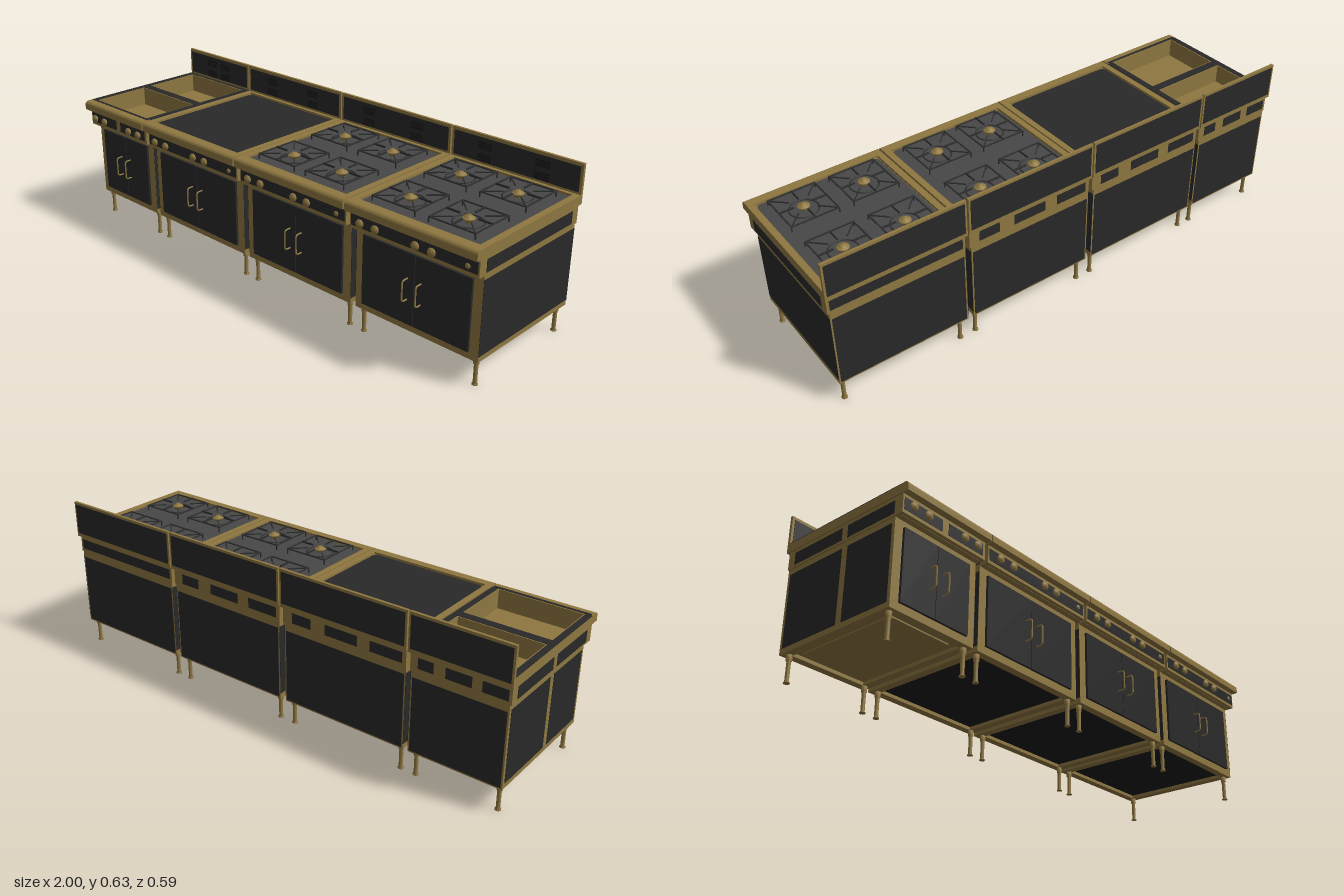
import * as THREE from 'three';

const mat = (color, side = THREE.FrontSide) => new THREE.MeshStandardMaterial({ color, side });
const gold = mat(0x8f7841), dark = mat(0x292929), black = mat(0x1b1b1b);
const iron = mat(0x303030), plateGrey = mat(0x474747);

function add(parent, name, geo, material, x = 0, y = 0, z = 0) {
  const m = new THREE.Mesh(geo, material);
  m.name = name;
  m.position.set(x, y, z);
  parent.add(m);
  return m;
}

// Box given by its low and high corners
function box(parent, name, material, x0, x1, y0, y1, z0, z1) {
  return add(parent, name, new THREE.BoxGeometry(x1 - x0, y1 - y0, z1 - z0), material,
    (x0 + x1) / 2, (y0 + y1) / 2, (z0 + z1) / 2);
}

// Four boxes around a rectangular opening, lying flat
function frame(parent, name, material, o, i, y0, y1) {
  box(parent, name, material, o[0], i[0], y0, y1, o[2], o[3]);
  box(parent, name, material, i[1], o[1], y0, y1, o[2], o[3]);
  box(parent, name, material, i[0], i[1], y0, y1, o[2], i[2]);
  box(parent, name, material, i[0], i[1], y0, y1, i[3], o[3]);
}

const lathe = (pts, n = 20) => new THREE.LatheGeometry(pts.map(p => new THREE.Vector2(...p)), n);
const legGeo = lathe([[0, 0], [0.011, 0], [0.011, 0.003], [0.0075, 0.006], [0.0075, 0.078],
  [0.0105, 0.079], [0.0105, 0.1], [0, 0.1]], 16);
const knobGeo = lathe([[0.007, 0], [0.007, 0.006], [0.014, 0.007], [0.016, 0.011], [0.014, 0.016],
  [0.008, 0.017], [0.007, 0.02], [0, 0.02]]).rotateX(Math.PI / 2);
const burnerGeo = lathe([[0.013, 0], [0.014, 0.005], [0.023, 0.012], [0.021, 0.016], [0.011, 0.018],
  [0.009, 0.024], [0, 0.024]], 24);

// Bent bar handle
const handlePath = new THREE.CurvePath();
const V = (y, z) => new THREE.Vector3(0, y, z);
handlePath.add(new THREE.LineCurve3(V(0.22, 0.24), V(0.22, 0.258)));
handlePath.add(new THREE.QuadraticBezierCurve3(V(0.22, 0.258), V(0.22, 0.27), V(0.232, 0.27)));
handlePath.add(new THREE.LineCurve3(V(0.232, 0.27), V(0.286, 0.27)));
handlePath.add(new THREE.QuadraticBezierCurve3(V(0.286, 0.27), V(0.298, 0.27), V(0.298, 0.258)));
handlePath.add(new THREE.LineCurve3(V(0.298, 0.258), V(0.298, 0.24)));
const handleGeo = new THREE.TubeGeometry(handlePath, 40, 0.003, 8);

// Front edge of the worktop, rounded at the top
function noseGeometry(width, back) {
  const s = new THREE.Shape();
  s.moveTo(back, 0.483);
  s.lineTo(0.295, 0.483);
  s.lineTo(0.295, 0.502);
  s.absarc(0.279, 0.502, 0.016, 0, Math.PI / 2, false);
  s.lineTo(back, 0.518);
  const g = new THREE.ExtrudeGeometry(s, { depth: width, bevelEnabled: false, curveSegments: 8 });
  return g.rotateY(-Math.PI / 2).translate(width, 0, 0);
}

function roundedPlate(x0, x1, z0, z1, y0, y1, r) {
  const s = new THREE.Shape();
  s.absarc(x1 - r, -z0 - r, r, 0, Math.PI / 2);
  s.absarc(x0 + r, -z0 - r, r, Math.PI / 2, Math.PI);
  s.absarc(x0 + r, -z1 + r, r, Math.PI, Math.PI * 1.5);
  s.absarc(x1 - r, -z1 + r, r, Math.PI * 1.5, Math.PI * 2);
  const g = new THREE.ExtrudeGeometry(s, { depth: y1 - y0, bevelEnabled: false, curveSegments: 6 });
  return g.rotateX(-Math.PI / 2).translate(0, y0, 0);
}

// Burner with ring and pan support
function burner(parent, x, z) {
  const g = new THREE.Group();
  g.name = 'burnerAndGrate';
  g.position.set(x, 0.511, z);
  parent.add(g);
  add(g, 'burner', burnerGeo, gold);
  const ring = add(g, 'burnerRing', new THREE.TorusGeometry(0.052, 0.003, 6, 28), iron, 0, 0.001, 0);
  ring.rotation.x = Math.PI / 2;
  const h = 0.0915, t = 0.005;
  frame(g, 'grateFrame', iron, [-h, h, -h, h], [-h + t, h - t, -h + t, h - t], 0.018, 0.022);
  for (let k = 0; k < 4; k++) {
    const arm = new THREE.Group();
    arm.name = 'grateArm';
    arm.rotation.y = k * Math.PI / 2;
    g.add(arm);
    box(arm, 'grateFinger', iron, 0.035, h - 0.002, 0.018, 0.025, -0.002, 0.002);
    box(arm, 'grateFoot', iron, h - 0.004, h, 0, 0.02, h - 0.004, h);
    const d = box(arm, 'grateDiagonal', iron, 0.05, 0.127, 0.018, 0.022, -0.002, 0.002);
    d.position.set(0.0626, 0.02, 0.0626);
    d.rotation.y = -Math.PI / 4;
  }
}

// One cabinet: x0..x1 is the worktop, b0..b1 the narrower body
function cabinet(name, x0, x1, b0, b1, kind) {
  const g = new THREE.Group();
  g.name = name;
  const zb = -0.284, zf = 0.234, mid = (b0 + b1) / 2, basin = kind === 'basin', e = 0.0012;

  // Body, base rails and underside
  box(g, 'body', gold, b0, b1, 0.12, 0.415, zb, zf);
  frame(g, 'baseRail', gold, [b0, b1, zb, zf], [b0 + 0.03, b1 - 0.03, zb + 0.03, zf - 0.03], 0.1, 0.12);
  box(g, 'underside', basin ? gold : black, b0 + 0.03, b1 - 0.03, 0.113, 0.121, zb + 0.03, zf - 0.03);
  if (basin) box(g, 'undersidePanel', gold, b0 + 0.055, b1 - 0.055, 0.108, 0.114, zb + 0.055, zf - 0.055);
  box(g, 'backPanel', dark, b0 + 0.006, b1 - 0.006, 0.106, 0.39, zb - e, zb);

  // Side panels; the basin cabinet has a middle post on its outer side
  box(g, 'sidePanel', dark, b1, b1 + e, 0.12, 0.395, zb, zf);
  const spans = basin ? [[zb + 0.012, -0.01], [0.016, zf - 0.012]] : [[zb, zf]];
  for (const [a, b] of spans) box(g, 'sidePanel', dark, b0 - e, b0, 0.12, 0.395, a, b);

  // Doors and handles
  const d0 = b0 + 0.034, d1 = b1 - 0.036, dm = (d0 + d1) / 2;
  box(g, 'door', dark, d0, dm - 0.001, 0.128, 0.39, zf, 0.243);
  box(g, 'door', dark, dm + 0.001, d1, 0.128, 0.39, zf, 0.243);
  for (const s of [-1, 1]) add(g, 'handle', handleGeo, gold, dm + s * 0.028, 0, 0);

  // Legs
  for (const x of [b0 + 0.021, b1 - 0.021])
    for (const z of [0.21, -0.257]) add(g, 'leg', legGeo, gold, x, 0, z);

  // Control housing, left hollow for the basins
  const c0 = x0 + 0.005, c1 = x1 - 0.005;
  frame(g, 'controlHousing', gold, [c0, c1, zb, 0.27], [c0 + 0.012, c1 - 0.012, zb + 0.012, 0.256], 0.415, 0.484);
  box(g, 'housingFloor', gold, c0 + 0.012, c1 - 0.012, 0.414, 0.418, zb + 0.012, 0.256);
  const panels = basin ? [[c0 + 0.006, mid - 0.014], [mid + 0.014, c1 - 0.012]] : [[c0 + 0.006, c1 - 0.006]];
  for (const [a, b] of panels) box(g, 'controlPanel', dark, a, b, 0.427, 0.471, 0.27, 0.2715);
  for (const [a, b] of basin ? [[-0.25, -0.01], [0.016, 0.235]] : [[-0.25, 0.235]])
    box(g, 'housingSidePanel', dark, c0 - e, c0, 0.424, 0.47, a, b);
  box(g, 'housingSidePanel', dark, c1, c1 + e, 0.424, 0.47, -0.25, 0.235);
  const w = c1 - c0;
  const vents = name === 'rightRange' ? [[0.02, 0.98]] : [[0.03, 0.28], [0.38, 0.64], [0.76, 0.92]];
  for (const [a, b] of vents)
    box(g, 'rearVent', dark, c0 + a * w, c0 + b * w, 0.428, 0.468, zb - e, zb);

  // Knobs
  const knobs = basin ? [0.043, 0.107, 0.27, 0.332] : [0.056, 0.122, 0.288, 0.353];
  for (const k of knobs) add(g, 'knob', knobGeo, gold, x0 + k, 0.447, 0.27);
  if (!basin) add(g, 'smallKnob', knobGeo, gold, x0 + 0.487, 0.447, 0.27).scale.set(0.6, 0.6, 0.5);

  // Worktop frame with rounded front edge
  const inX0 = x0 + 0.024, inX1 = x1 - 0.024, inZ0 = -0.27, inZ1 = 0.25;
  const edge = basin ? dark : gold;
  add(g, 'frontEdge', noseGeometry(x1 - x0, inZ1), gold, x0, 0, 0);
  for (const [a, b] of [[x0, inX0], [inX1, x1]]) {
    box(g, 'worktopSide', gold, a, b, 0.483, 0.516, zb, inZ1);
    box(g, 'worktopRim', edge, a, b, 0.516, 0.518, zb, inZ1);
  }
  box(g, 'worktopBack', edge, inX0, inX1, 0.483, 0.518, zb, inZ0);

  if (basin) {
    // Two open basins with a dark divider between them
    box(g, 'basinDivider', dark, inX0, inX1, 0.44, 0.518, -0.03, 0.005);
    box(g, 'frontRim', dark, inX0 - 0.02, inX1 + 0.02, 0.517, 0.5188, inZ1, 0.262);
    for (const [a, b] of [[inZ0, -0.03], [0.005, inZ1]]) {
      frame(g, 'basinWall', gold, [inX0, inX1, a, b], [inX0 + 0.004, inX1 - 0.004, a + 0.004, b - 0.004], 0.44, 0.517);
      box(g, 'basinFloor', gold, inX0, inX1, 0.436, 0.442, a, b);
    }
  } else {
    box(g, 'worktopTray', gold, inX0, inX1, 0.483, 0.508, inZ0, inZ1);
    const plate = roundedPlate(inX0 + 0.003, inX1 - 0.003, inZ0 + 0.003, inZ1 - 0.004, 0.505, 0.511, 0.018);
    add(g, kind === 'griddle' ? 'griddlePlate' : 'hobPlate', plate, kind === 'griddle' ? dark : plateGrey);
    if (kind === 'burners')
      for (const x of [0.147, 0.381]) for (const z of [0.132, -0.142]) burner(g, x0 + x, z);
  }

  // Backsplash with dark faces and vent slots
  box(g, 'backsplash', gold, x0, x1, 0.483, 0.63, -0.295, zb);
  box(g, 'backsplashPanel', dark, x0 + 0.01, x1 - 0.01, 0.526, 0.618, zb, zb + e);
  box(g, 'backsplashRearPanel', dark, x0 + 0.008, x1 - 0.008, 0.498, 0.62, -0.295 - e, -0.295);
  const sx = basin ? [0.15, 0.235] : [0.145, 0.38];
  for (const x of sx) for (const y of [0.543, 0.588])
    for (let k = 0; k < 3; k++)
      box(g, 'ventSlot', black, x0 + x - 0.03, x0 + x + 0.03, y - 0.013 + k * 0.01, y - 0.005 + k * 0.01, zb, zb + 0.003);
  return g;
}

export function createModel() {
  const model = new THREE.Group();
  model.name = 'kitchenRange';
  model.add(
    cabinet('basinUnit', -1, -0.618, -0.99, -0.628, 'basin'),
    cabinet('griddleUnit', -0.612, -0.079, -0.608, -0.092, 'griddle'),
    cabinet('middleRange', -0.073, 0.46, -0.067, 0.449, 'burners'),
    cabinet('rightRange', 0.467, 1, 0.473, 0.989, 'burners'),
  );
  return model;
}
